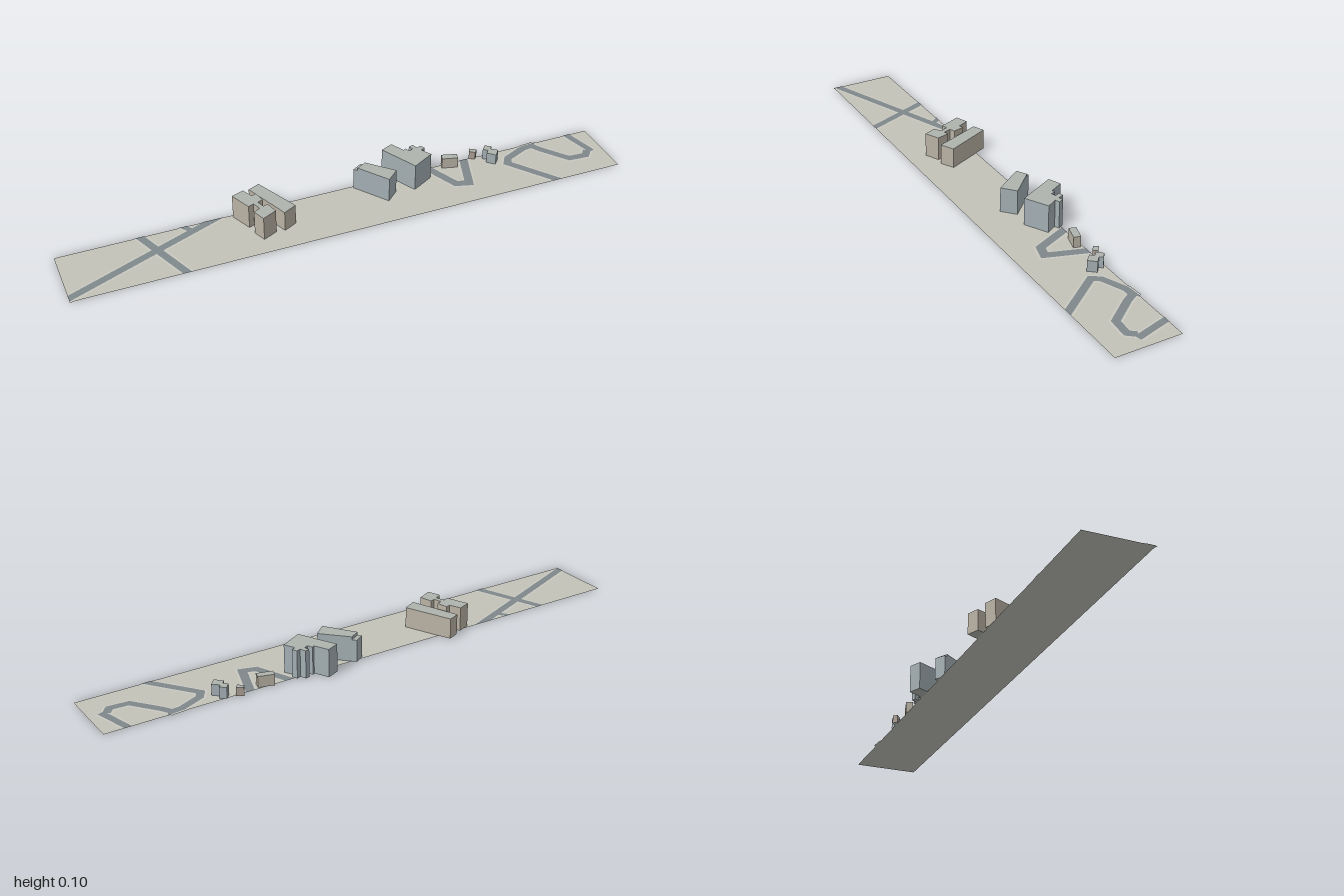
import * as THREE from 'three';

const X0 = -1, X1 = 1, Z0 = -0.092, Z1 = 0.145;
const mat = (color, side = THREE.FrontSide) => new THREE.MeshStandardMaterial({ color, side });

// Flat mitred strip along [x, z] points; ends on the ground's border are cut along it.
function strip(points, width, y) {
  const pts = points.map(([x, z]) => new THREE.Vector2(x, z));
  const normal = (a, b) => {
    const d = b.clone().sub(a).normalize();
    return new THREE.Vector2(-d.y, d.x);
  };
  const pos = [], index = [];
  pts.forEach((p, i) => {
    const n0 = normal(pts[Math.max(i - 1, 0)], pts[Math.max(i, 1)]);
    const last = pts.length - 1;
    const n1 = normal(pts[Math.min(i, last - 1)], pts[Math.min(i + 1, last)]);
    let s = n0.clone().add(n1).normalize();
    if (i === 0 || i === last) {
      if (p.y === Z0 || p.y === Z1) s = new THREE.Vector2(Math.sign(n0.x), 0);
      else if (p.x === X0 || p.x === X1) s = new THREE.Vector2(0, Math.sign(n0.y));
    }
    s.multiplyScalar(width / 2 / s.dot(n0));
    pos.push(p.x - s.x, y, p.y - s.y, p.x + s.x, y, p.y + s.y);
    if (i < last) {
      const k = i * 2;
      index.push(k, k + 1, k + 2, k + 1, k + 3, k + 2);
    }
  });
  const g = new THREE.BufferGeometry();
  g.setAttribute('position', new THREE.Float32BufferAttribute(pos, 3));
  g.setIndex(index);
  g.computeVertexNormals();
  return g;
}

// Upright block over an [x, z] footprint.
function block(footprint, height) {
  const shape = new THREE.Shape(footprint.map(([x, z]) => new THREE.Vector2(x, -z)));
  return new THREE.ExtrudeGeometry(shape, { depth: height, bevelEnabled: false }).rotateX(-Math.PI / 2);
}

export function createModel() {
  const model = new THREE.Group();
  model.name = 'cityStrip';
  const add = (name, geometry, material) => {
    const mesh = new THREE.Mesh(geometry, material);
    mesh.name = name;
    model.add(mesh);
  };

  // Ground sheet
  const ground = new THREE.PlaneGeometry(X1 - X0, Z1 - Z0).rotateX(-Math.PI / 2);
  ground.translate(0, 0, (Z0 + Z1) / 2);
  add('ground', ground, mat(0xc2c2b9, THREE.DoubleSide));

  // Roads with a pale verge under each
  const asphalt = mat(0x7f888c, THREE.DoubleSide);
  const verge = mat(0xc9c9c0, THREE.DoubleSide);
  const roads = [
    ['longRoad', 0.027, [[X0, 0.128], [-0.45, Z0]]],
    ['crossRoad', 0.027, [[-0.71, Z0], [-0.615, Z1]]],
    ['shortRoad', 0.02, [[-0.56, Z0], [-0.535, -0.058]]],
    ['bendRoad', 0.03, [[0.35, Z0], [0.405, 0.032], [0.45, 0.045], [0.495, Z0]]],
    ['loopRoad', 0.027, [[0.75, Z1], [0.632, -0.012], [0.65, -0.04], [0.73, -0.075], [0.765, -0.078],
      [0.785, -0.045], [0.855, 0.045], [0.92, 0.05], [0.94, 0.025]]],
    ['loopSpur', 0.02, [[0.765, -0.078], [0.775, Z0]]],
    ['endRoad', 0.025, [[0.92, Z0], [0.955, 0.035]]],
  ];
  roads.forEach(([name, width, path]) => {
    add(name + 'Verge', strip(path, width + 0.014, 0.0008), verge);
    add(name, strip(path, width, 0.0016), asphalt);
  });

  // Buildings: grey roofs over warm or cool walls
  const roof = mat(0xaeb3ae), warm = mat(0xb9b2a4), cool = mat(0xa3afb3), brown = mat(0xa99c92);
  const buildings = [
    ['notchedBlock', 0.088, warm, [[-0.385, -0.083], [-0.34, -0.1], [-0.322, -0.06], [-0.305, -0.066],
      [-0.295, -0.025], [-0.315, -0.018], [-0.305, 0.01], [-0.288, 0.004], [-0.275, 0.05],
      [-0.327, 0.075], [-0.345, 0.03], [-0.32, 0.016], [-0.332, -0.014], [-0.352, -0.006]]],
    ['slabBlock', 0.075, warm, [[-0.315, -0.115], [-0.273, -0.133], [-0.198, 0.03], [-0.246, 0.055]]],
    ['tower', 0.091, cool, [[0.07, -0.071], [0.107, -0.092], [0.19, -0.007], [0.145, 0.034]]],
    ['towerAnnex', 0.08, cool, [[0.06, -0.083], [0.095, -0.105], [0.107, -0.092], [0.07, -0.071]]],
    ['largeBlock', 0.101, cool, [[0.187, -0.128], [0.232, -0.148], [0.258, -0.098], [0.267, -0.104],
      [0.275, -0.086], [0.29, -0.093], [0.283, -0.11], [0.3, -0.115], [0.308, -0.094],
      [0.324, -0.1], [0.332, -0.082], [0.316, -0.075], [0.337, -0.038], [0.256, 0.007]]],
    ['lowHouse', 0.04, warm, [[0.408, -0.1], [0.462, -0.084], [0.456, -0.06], [0.4, -0.075]]],
    ['shed', 0.03, brown, [[0.526, -0.11], [0.548, -0.095], [0.535, -0.08], [0.517, -0.094]]],
    ['stepHouse', 0.04, cool, [[0.58, -0.095], [0.6, -0.08], [0.59, -0.068], [0.612, -0.05],
      [0.59, -0.024], [0.565, -0.048], [0.577, -0.062], [0.562, -0.074]]],
  ];
  buildings.forEach(([name, height, wall, footprint]) => add(name, block(footprint, height), [roof, wall]));

  return model;
}
